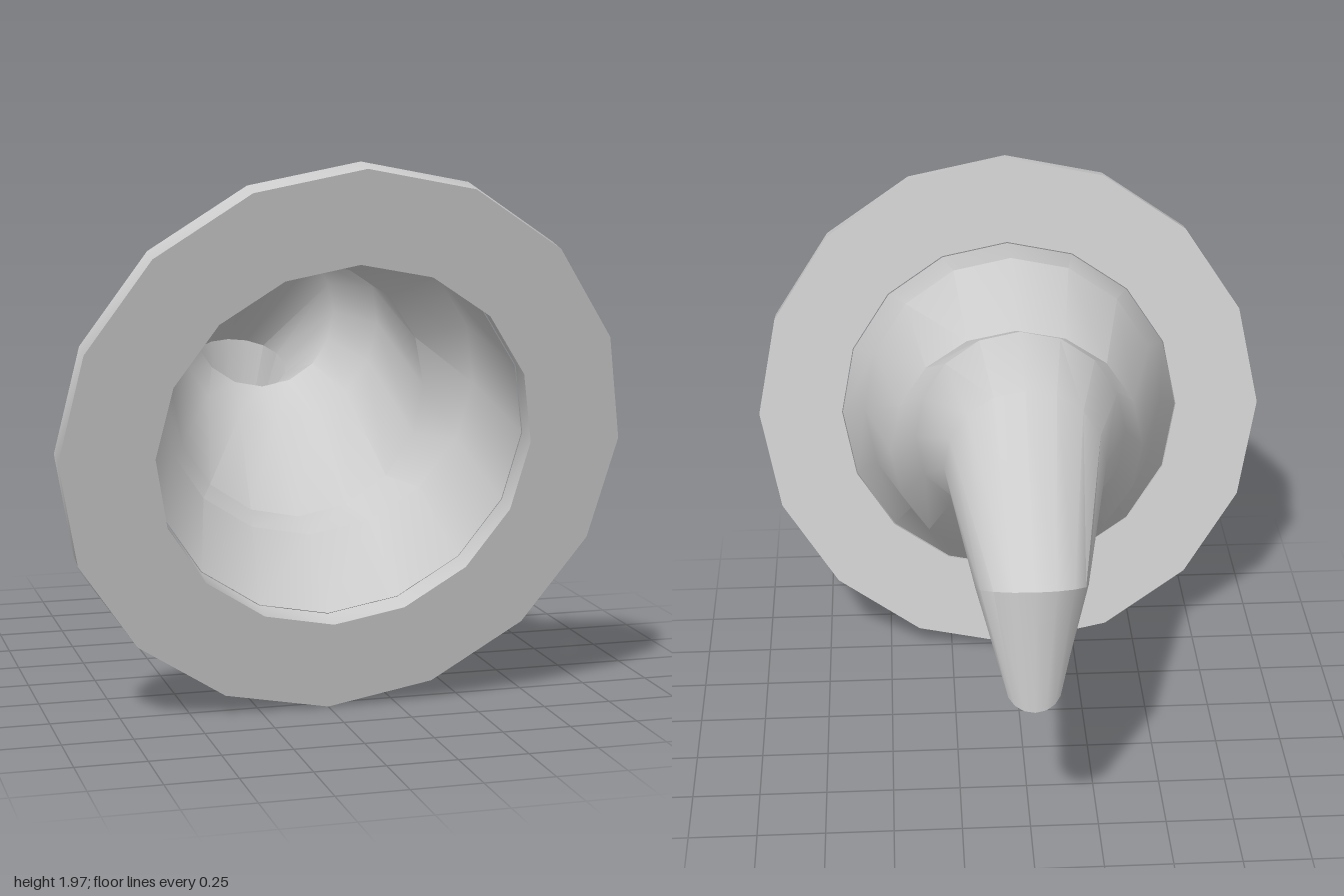
import * as THREE from 'three';
import { toCreasedNormals } from 'three/addons/utils/BufferGeometryUtils.js';

const SIDES = 16;
const CREASE = 0.5;

// Skins round rings, each given by its upper and lower point in the side plane: [zTop, yTop, zLow, yLow]
function loftRings(rings) {
  const positions = [], indices = [];
  for (const [zTop, yTop, zLow, yLow] of rings) {
    const cz = (zTop + zLow) / 2, cy = (yTop + yLow) / 2;
    const radius = Math.hypot(zTop - zLow, yTop - yLow) / 2;
    for (let i = 0; i < SIDES; i++) {
      const a = (i / SIDES) * Math.PI * 2;
      positions.push(
        radius * Math.sin(a),
        cy + (yTop - cy) * Math.cos(a),
        cz + (zTop - cz) * Math.cos(a)
      );
    }
  }
  for (let k = 0; k < rings.length - 1; k++) {
    for (let i = 0; i < SIDES; i++) {
      const j = (i + 1) % SIDES;
      const a = k * SIDES + i, b = k * SIDES + j;
      const c = a + SIDES, d = b + SIDES;
      indices.push(a, b, c, b, d, c);
    }
  }
  // Close the last ring
  const last = (rings.length - 1) * SIDES;
  for (let i = 1; i < SIDES - 1; i++) indices.push(last, last + i, last + i + 1);

  const geometry = new THREE.BufferGeometry();
  geometry.setAttribute('position', new THREE.Float32BufferAttribute(positions, 3));
  geometry.setIndex(indices);
  return toCreasedNormals(geometry, CREASE);
}

export function createModel() {
  const hat = new THREE.Group();
  hat.name = 'pointedHat';
  const material = new THREE.MeshStandardMaterial({ color: 0xcccccc, side: THREE.DoubleSide });

  // Flat brim with a round opening, tilted back
  const profile = [[0.67, 0], [1, 0], [1, 0.087], [0.67, 0.087], [0.67, 0]]
    .map(([r, y]) => new THREE.Vector2(r, y));
  const brim = new THREE.Mesh(
    toCreasedNormals(new THREE.LatheGeometry(profile, SIDES), CREASE),
    material
  );
  brim.name = 'brim';
  brim.position.set(0, 0.975, 0.777);
  brim.rotation.x = -1.342;
  hat.add(brim);

  // Hollow crumpled crown, bending down to a small tip
  const crown = new THREE.Mesh(loftRings([
    [0.84, 1.645, 0.545, 0.345],
    [0.56, 1.70, 0.30, 0.58],
    [0.18, 1.57, 0.14, 0.615],
    [-0.045, 1.67, -0.19, 0.92],
    [-0.385, 1.60, -0.40, 1.025],
    [-0.973, 1.14, -0.62, 0.975],
    [-0.995, 0.67, -0.83, 0.775],
    [-0.86, 0.607, -0.825, 0.633],
  ]), material);
  crown.name = 'crown';
  hat.add(crown);

  return hat;
}
